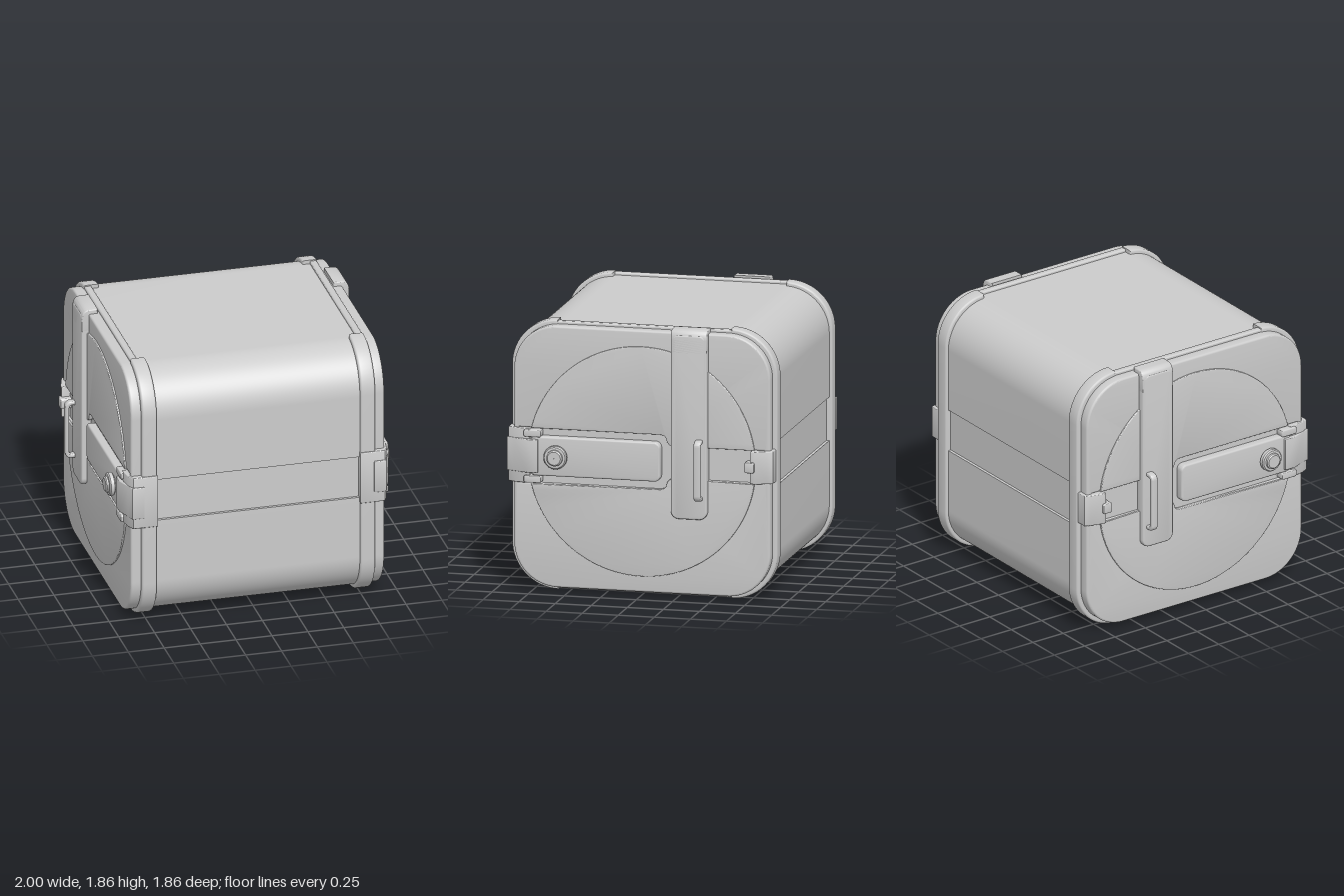
import * as THREE from 'three';
import { toCreasedNormals } from 'three/addons/utils/BufferGeometryUtils.js';

const CY = 0.928, CZ = -0.01;
const material = new THREE.MeshStandardMaterial({ color: 0xcccccc });
const poly = (pts) => new THREE.Shape(pts.map(([u, v]) => new THREE.Vector2(u, v)));

// Rounded rectangle; notch = [low, high, depth] cuts a groove into both upright sides.
function roundRect(u0, v0, u1, v1, r, notch) {
  const s = new THREE.Shape();
  const cut = (u, inward, a, b) => {
    s.lineTo(u, a);
    s.lineTo(u + inward, a);
    s.lineTo(u + inward, b);
    s.lineTo(u, b);
  };
  s.moveTo(u0 + r, v0);
  s.absarc(u1 - r, v0 + r, r, -Math.PI / 2, 0);
  if (notch) cut(u1, -notch[2], notch[0], notch[1]);
  s.absarc(u1 - r, v1 - r, r, 0, Math.PI / 2);
  s.absarc(u0 + r, v1 - r, r, Math.PI / 2, Math.PI);
  if (notch) cut(u0, notch[2], notch[1], notch[0]);
  s.absarc(u0 + r, v0 + r, r, Math.PI, Math.PI * 1.5);
  s.closePath();
  return s;
}

const centred = (hz, hy, r, notch) => roundRect(CZ - hz, CY - hy, CZ + hz, CY + hy, r, notch);

// Extrusion from 0 to length with a rounded edge that stays inside the outline.
function extrude(shape, length, bevel) {
  const g = new THREE.ExtrudeGeometry(shape, {
    depth: length - 2 * bevel, curveSegments: 20, bevelEnabled: bevel > 0,
    bevelThickness: bevel, bevelSize: bevel, bevelOffset: -bevel, bevelSegments: 3,
  });
  return g.translate(0, 0, bevel);
}

// Shapes drawn in (z, y), (x, z) or (x, y), extruded along the remaining axis.
const alongX = (s, a, b, bevel = 0.01) => extrude(s, b - a, bevel).rotateY(-Math.PI / 2).translate(b, 0, 0);
const alongY = (s, a, b, bevel = 0.006) => extrude(s, b - a, bevel).rotateX(Math.PI / 2).translate(0, b, 0);
const alongZ = (s, a, b, bevel = 0.008) => extrude(s, b - a, bevel).translate(0, 0, a);

function mirrorX(geometry) {
  const g = geometry.clone().scale(-1, 1, 1);
  const index = [];
  for (let i = 0; i < g.attributes.position.count; i += 3) index.push(i, i + 2, i + 1);
  g.setIndex(index);
  return g;
}

// Half of the stepped recess edge on the end caps; s = 1 upper, -1 lower.
const recessEdge = (s) => [
  [0.84, 0.188], [-0.14, 0.188], [-0.165, 0.181], [-0.18, 0.165],
  [-0.185, 0.14], [-0.2, 0.12], [-0.225, 0.112], [-0.85, 0.112],
].map(([u, v]) => [u, CY + 0.004 + s * v]);

// Segment of the round boss above or below the recess.
function bossHalf(s) {
  const r = 0.79, a0 = Math.asin(0.192 / r), a1 = Math.PI - Math.asin(0.116 / r);
  const pts = [];
  for (let i = 0; i <= 48; i++) {
    const a = a0 + ((a1 - a0) * i) / 48;
    pts.push([CZ + r * Math.cos(a), CY + s * r * Math.sin(a)]);
  }
  return poly([...pts, ...recessEdge(s).slice(1, 7).reverse()]);
}

// Corner band covering one upright side and running onto top and bottom.
function cornerBand(s) {
  const r = 0.32, out = 0.92, end = 0.6, top = 2 * CY;
  const pts = [[CZ + s * end, 0]];
  for (let i = 0; i <= 16; i++) {
    const a = -Math.PI / 2 + (Math.PI / 2) * (i / 16);
    pts.push([CZ + s * (out - r + r * Math.cos(a)), r + r * Math.sin(a)]);
  }
  for (let i = 0; i <= 16; i++) {
    const a = (Math.PI / 2) * (i / 16);
    pts.push([CZ + s * (out - r + r * Math.cos(a)), top - r + r * Math.sin(a)]);
  }
  return poly([...pts, [CZ + s * end, top]]);
}

export function createModel() {
  const model = new THREE.Group();
  model.name = 'case';

  function add(parent, name, geometry) {
    const mesh = new THREE.Mesh(geometry, material);
    mesh.name = name;
    parent.add(mesh);
  }

  // Main shell with a shallow belt groove on front and back
  add(model, 'shell', toCreasedNormals(
    alongX(centred(0.9, 0.901, 0.31, [0.78, 1.08, 0.02]), -0.79, 0.79, 0), 0.5));

  const sides = [['left', 1], ['right', -1]].map(([name, sign]) => {
    const group = new THREE.Group();
    group.name = name + 'End';
    model.add(group);
    return { group, sign };
  });
  const pair = (name, geometry) => {
    const g = toCreasedNormals(geometry, 0.6);
    for (const { group, sign } of sides) add(group, name, sign > 0 ? g : mirrorX(g));
  };

  // Edge ring and wider corner bands
  pair('edgeRing', alongX(centred(0.914, 0.92, 0.318), 0.76, 0.808));
  pair('frontCornerBand', alongX(cornerBand(1), 0.708, 0.812, 0.014));
  pair('backCornerBand', alongX(cornerBand(-1), 0.708, 0.812, 0.014));

  // End cap with recess and round boss
  const cap = centred(0.888, 0.9, 0.3);
  cap.holes.push(poly([...recessEdge(1), ...recessEdge(-1).reverse()]));
  pair('endCap', alongX(cap, 0.79, 0.882, 0.014));
  pair('recessFloor', alongX(centred(0.87, 0.88, 0.29), 0.78, 0.866, 0));
  pair('upperBoss', alongX(bossHalf(1), 0.87, 0.894, 0.005));
  pair('lowerBoss', alongX(bossHalf(-1), 0.87, 0.894, 0.005));

  // Latch lever and its knob
  pair('latchLever', alongX(roundRect(-0.143, 0.8, 0.76, 1.07, 0.04), 0.85, 0.922, 0.012));
  const knob = [[0.001, 0.987], [0.045, 0.987], [0.054, 0.98], [0.056, 0.968], [0.072, 0.966],
    [0.08, 0.958], [0.08, 0.934], [0.072, 0.928], [0.06, 0.924], [0.06, 0.9]];
  pair('latchKnob', new THREE.LatheGeometry(
    knob.reverse().map(([r, x]) => new THREE.Vector2(r, x)), 40)
    .rotateZ(-Math.PI / 2).translate(0, 0.937, 0.575));

  // Front hinge plate, clasp and lugs
  pair('hingePlate', alongY(poly([[0.705, 0.918], [0.875, 0.918], [0.9, 0.87], [0.912, 0.8],
    [0.912, 0.76], [0.86, 0.76], [0.84, 0.86], [0.705, 0.87]]), 0.745, 1.12));
  pair('clasp', alongY(poly([[0.8, 0.926], [0.885, 0.926], [0.902, 0.87], [0.938, 0.78],
    [0.938, 0.7], [0.88, 0.7], [0.86, 0.85], [0.8, 0.88]]), 0.82, 1.05));
  for (const y of [0.75, 1.065]) {
    pair('hingeLug', alongX(roundRect(0.68, y, 0.8, y + 0.05, 0.012), 0.86, 0.932, 0.008));
  }

  // Rear catch and button
  pair('rearCatch', alongY(poly([[0.785, -0.92], [0.885, -0.92], [0.9, -0.88], [0.925, -0.8],
    [0.925, -0.77], [0.86, -0.77], [0.85, -0.85], [0.785, -0.88]]), 0.82, 1.045));
  pair('rearButton', alongX(roundRect(-0.8, 0.897, -0.73, 0.97, 0.014), 0.86, 0.942, 0.008));

  // Strap hooked over the top, with a carrying bail
  pair('strap', alongX(roundRect(-0.47, 0.555, -0.22, 1.82, 0.055), 0.86, 0.932, 0.01));
  const hook = new THREE.Shape();
  hook.moveTo(0.82, 1.8);
  hook.lineTo(0.86, 1.7);
  hook.lineTo(0.932, 1.7);
  hook.lineTo(0.932, 1.79);
  hook.quadraticCurveTo(0.928, 1.856, 0.88, 1.858);
  hook.lineTo(0.82, 1.858);
  hook.closePath();
  pair('strapHook', alongZ(hook, -0.47, -0.22));
  const bail = roundRect(0.89, 0.69, 0.998, 1.108, 0.04);
  bail.holes.push(roundRect(0.915, 0.718, 0.97, 1.08, 0.018));
  pair('bail', alongZ(bail, -0.443, -0.393, 0.01));

  return model;
}
